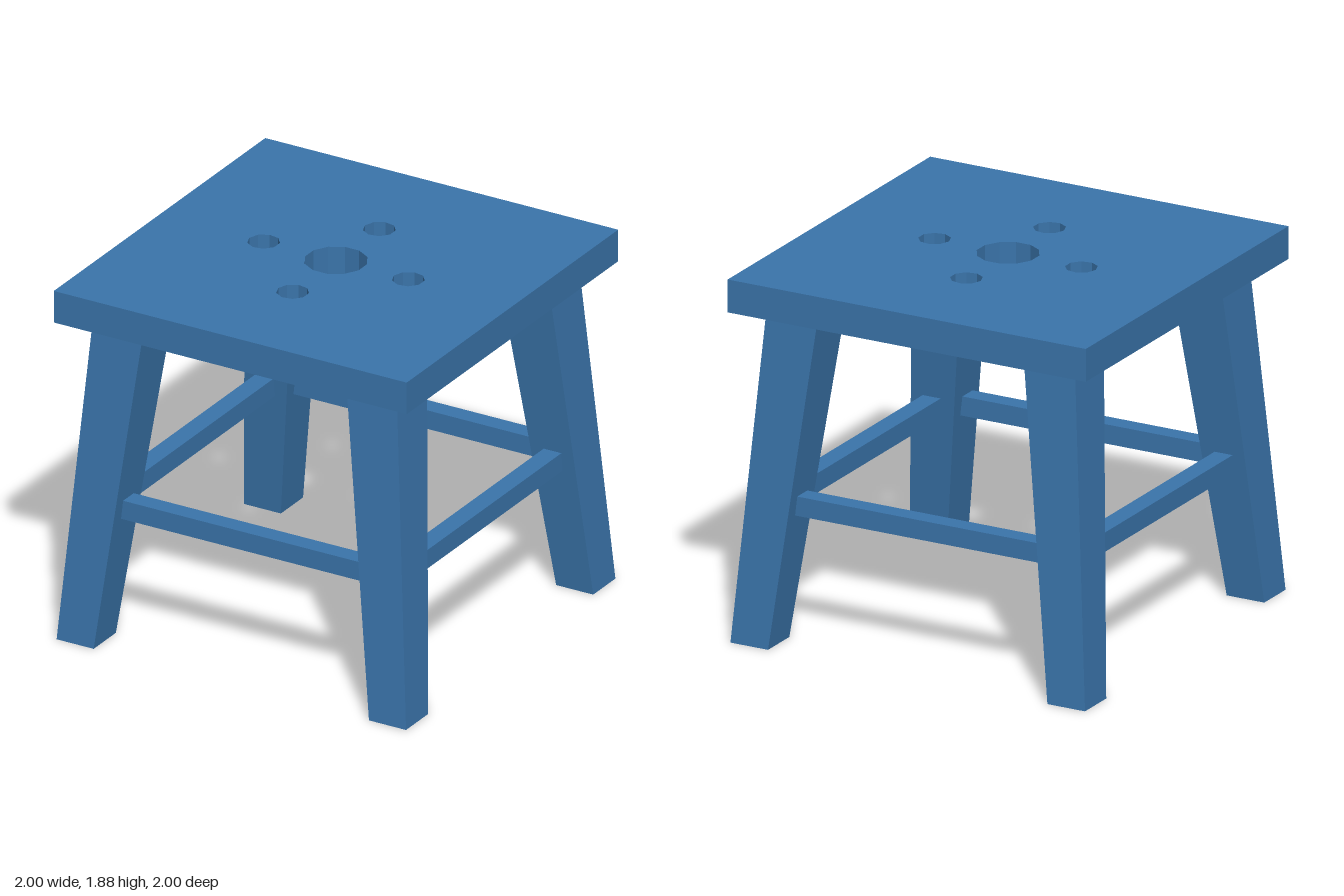
import * as THREE from 'three';

const SEAT_BOTTOM = 1.71, SEAT_TOP = 1.88;

// Regular polygon outline, used for the seat holes
function polygonHole(cx, cy, radius, sides) {
  const points = [];
  for (let i = 0; i < sides; i++) {
    const a = ((i + 0.5) / sides) * Math.PI * 2;
    points.push(new THREE.Vector2(cx + radius * Math.cos(a), cy + radius * Math.sin(a)));
  }
  return new THREE.Path(points);
}

// Square slab with one large central hole and four small ones around it
function seatGeometry() {
  const shape = new THREE.Shape([
    new THREE.Vector2(-1, -1), new THREE.Vector2(1, -1),
    new THREE.Vector2(1, 1), new THREE.Vector2(-1, 1),
  ]);
  shape.holes.push(polygonHole(0, 0, 0.157, 12));
  for (const [x, y] of [[1, 0], [-1, 0], [0, 1], [0, -1]]) {
    shape.holes.push(polygonHole(x * 0.41, y * 0.41, 0.081, 9));
  }
  const geometry = new THREE.ExtrudeGeometry(shape, { depth: SEAT_TOP - SEAT_BOTTOM, bevelEnabled: false });
  geometry.rotateX(-Math.PI / 2);
  geometry.translate(0, SEAT_BOTTOM, 0);
  return geometry;
}

// Splayed leg, wider at the top and leaning in towards the seat centre
function legGeometry(sx, sz) {
  const geometry = new THREE.BoxGeometry(2, 2, 2);
  const p = geometry.attributes.position;
  for (let i = 0; i < p.count; i++) {
    const top = p.getY(i) > 0;
    const centre = top ? 0.718 : 0.885;
    const half = top ? 0.143 : 0.105;
    p.setXYZ(i, sx * centre + half * p.getX(i), top ? SEAT_BOTTOM : 0, sz * centre + half * p.getZ(i));
  }
  geometry.computeVertexNormals();
  return geometry;
}

export function createModel() {
  const stool = new THREE.Group();
  stool.name = 'stool';
  const paint = new THREE.MeshStandardMaterial({ color: 0x3a74aa });
  paint.name = 'blue paint';

  const add = (name, geometry) => {
    const mesh = new THREE.Mesh(geometry, paint);
    mesh.name = name;
    stool.add(mesh);
    return mesh;
  };

  add('seat', seatGeometry());

  for (const sx of [1, -1]) {
    for (const sz of [1, -1]) {
      add(`${sz > 0 ? 'front' : 'back'}${sx > 0 ? 'Left' : 'Right'}Leg`, legGeometry(sx, sz));
    }
  }

  // Four rails joining neighbouring legs, ends let into the legs
  ['front', 'left', 'back', 'right'].forEach((side, i) => {
    const geometry = new THREE.BoxGeometry(1.46, 0.1, 0.1);
    geometry.translate(0, 0.72, 0.815);
    add(`${side}Rail`, geometry.rotateY((i * Math.PI) / 2));
  });

  return stool;
}
